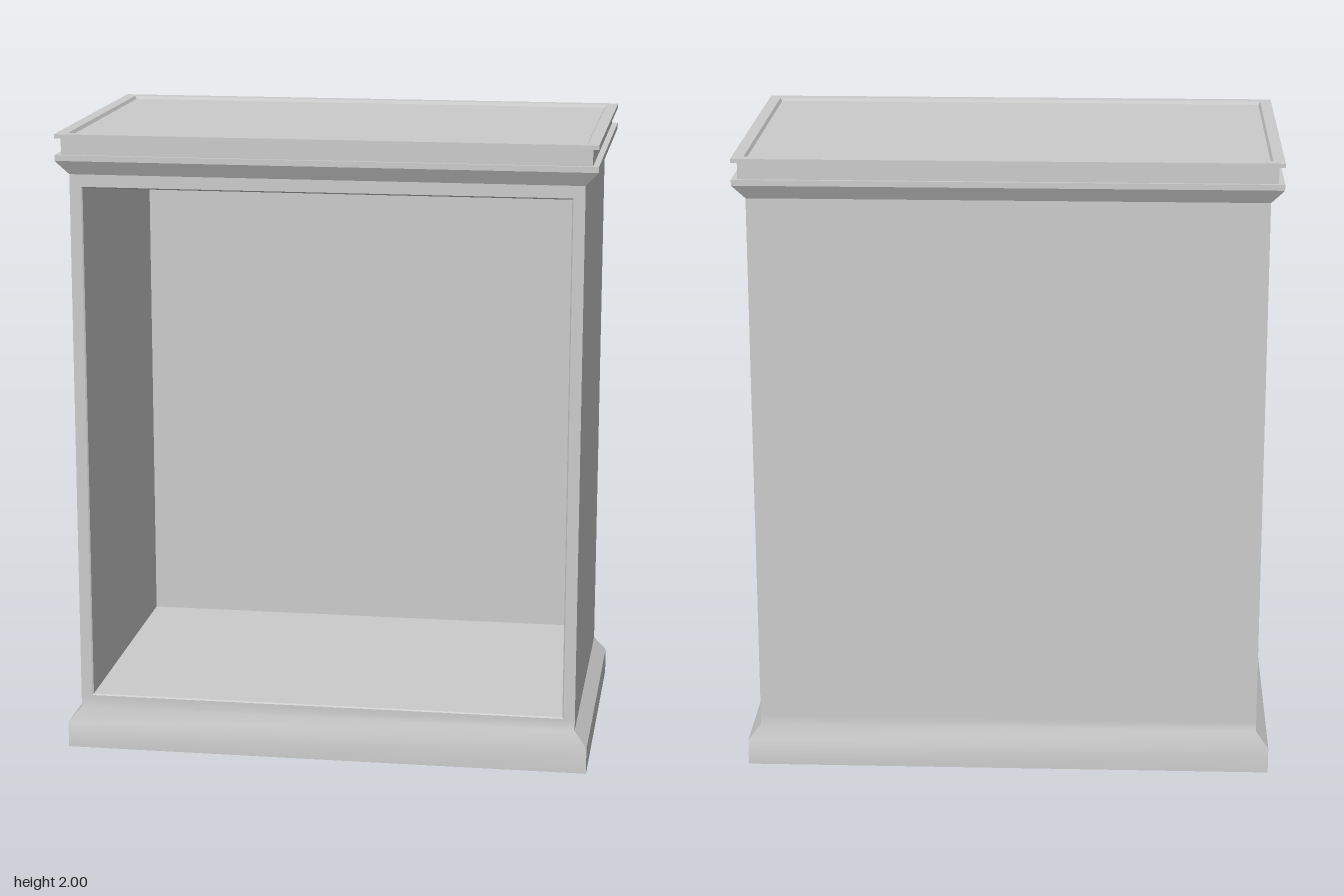
import * as THREE from 'three';
import { toCreasedNormals } from 'three/addons/utils/BufferGeometryUtils.js';

const W = 0.8, D = 0.481;        // half width and half depth of the case
const Y0 = 0.165, Y1 = 1.84;     // height range of the plain walls

// Horizontal rectangle, counter-clockwise seen from above
const flat = (y, hx, hz) => [[hx, y, hz], [hx, y, -hz], [-hx, y, -hz], [-hx, y, hz]];
// Same, given as a scale of the case footprint
const ring = (y, s) => flat(y, W * s, D * s);
// Upright rectangle, counter-clockwise seen from the front
const upright = (z, hx, y0, y1) => [[hx, y0, z], [hx, y1, z], [-hx, y1, z], [-hx, y0, z]];

// Skin a row of four-cornered loops, optionally closing either end
function loft(name, loops, { start = false, end = false, sides = [0, 1, 2, 3] } = {}) {
  const pos = [];
  const quad = (a, b, c, d) => pos.push(...a, ...b, ...c, ...a, ...c, ...d);
  for (let k = 0; k < loops.length - 1; k++) {
    const lo = loops[k], hi = loops[k + 1];
    for (const i of sides) {
      const j = (i + 1) % 4;
      quad(lo[i], lo[j], hi[j], hi[i]);
    }
  }
  if (start) quad(...[...loops[0]].reverse());
  if (end) quad(...loops[loops.length - 1]);
  const geometry = new THREE.BufferGeometry();
  geometry.setAttribute('position', new THREE.Float32BufferAttribute(pos, 3));
  const material = new THREE.MeshStandardMaterial({ color: 0xcccccc, side: THREE.DoubleSide });
  const mesh = new THREE.Mesh(toCreasedNormals(geometry, 0.5), material);
  mesh.name = name;
  return mesh;
}

export function createModel() {
  const cabinet = new THREE.Group();
  cabinet.name = 'cabinet';

  // Flared plinth
  cabinet.add(loft('base', [ring(0, 1.05), ring(0.083, 1.05), ring(0.133, 1), ring(Y0, 1)], { start: true }));

  // Right, back and left walls
  cabinet.add(loft('walls', [ring(Y0, 1), ring(Y1, 1)], { sides: [0, 1, 2] }));

  // Front frame with a softened edge, running into the open compartment
  cabinet.add(loft('frontFrame', [
    upright(D, W, Y0, Y1),
    upright(D, 0.764, 0.171, 1.834),
    upright(D - 0.004, 0.76, 0.175, 1.83),
  ]));
  cabinet.add(loft('compartment', [
    upright(D - 0.004, 0.76, 0.175, 1.83),
    upright(-0.47, 0.76, 0.175, 1.83),
  ], { end: true }));

  // Crown moulding: flare, lip, neck, top rim and shallow recessed top
  cabinet.add(loft('crown', [
    ring(Y1, 1), ring(1.873, 1), ring(1.917, 1.05), ring(1.935, 1.05),
    ring(1.935, 1.027), ring(1.987, 1.027), ring(1.987, 1.05), ring(2, 1.05),
    flat(2, 0.804, 0.467), flat(1.99, 0.798, 0.461),
  ], { end: true }));

  return cabinet;
}
